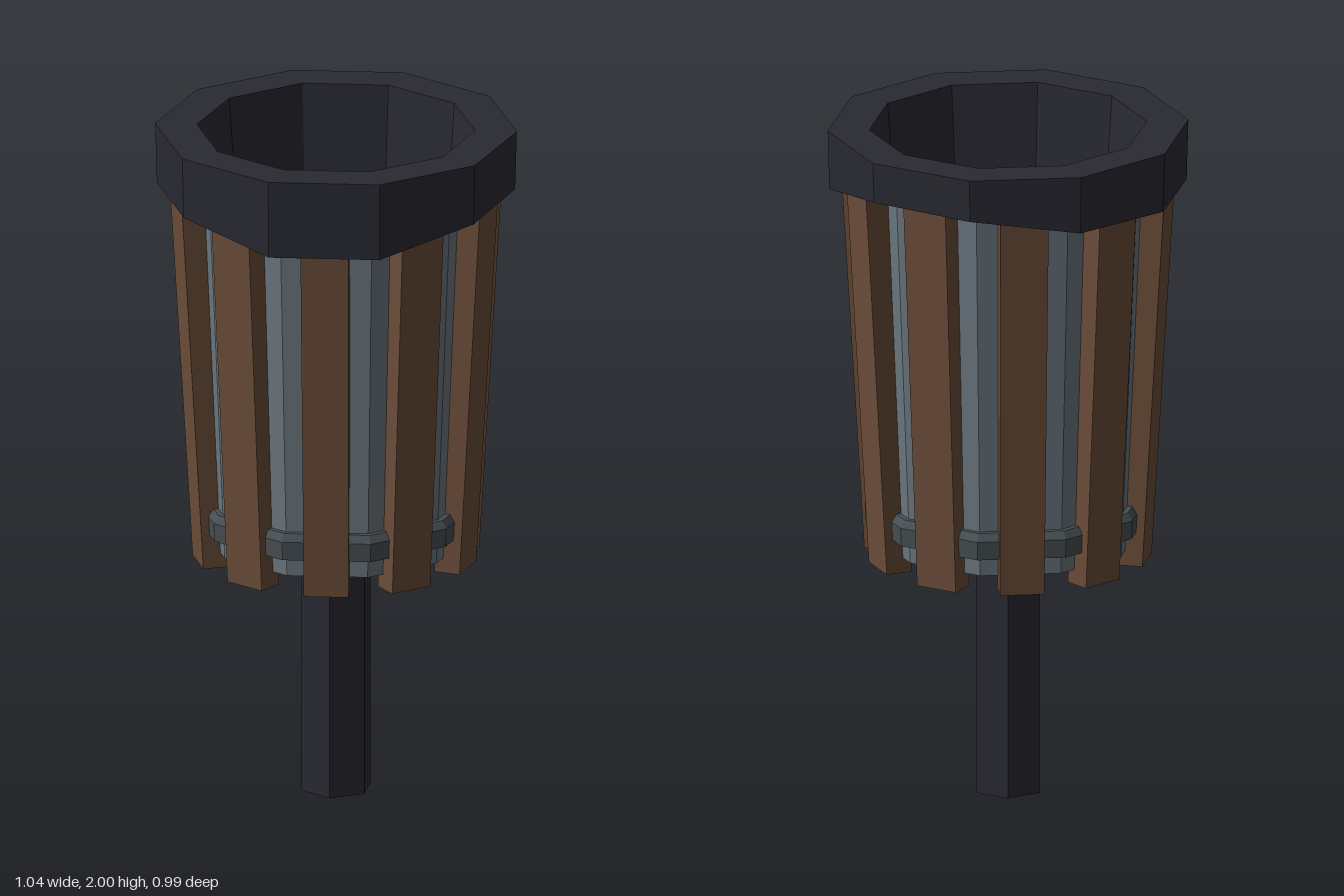
import * as THREE from 'three';

const SIDES = 10;
const STEP = (Math.PI * 2) / SIDES;

export function createModel() {
  const mat = (name, color) => {
    const m = new THREE.MeshStandardMaterial({ color, flatShading: true });
    m.name = name;
    return m;
  };
  const iron = mat('dark iron', 0x292933);
  const steel = mat('blue grey steel', 0x6b777f);
  const bandSteel = mat('dark steel', 0x474f54);
  const wood = mat('brown wood', 0x6b4d39);

  const group = new THREE.Group();
  const add = (name, geometry, material, parent = group) => {
    const mesh = new THREE.Mesh(geometry, material);
    mesh.name = name;
    parent.add(mesh);
    return mesh;
  };
  // Ten-sided turned part with a corner on the x axis
  const lathe = (points) =>
    new THREE.LatheGeometry(points.map(([r, y]) => new THREE.Vector2(r, y)), SIDES, Math.PI / 2);

  // Rim and hollow bowl in one profile; the lower edge is uneven, one height per corner
  const lowerEdge = [1.82, 1.77, 1.77, 1.82, 1.82, 1.825, 1.83, 1.875, 1.88, 1.825];
  const rimGeo = lathe([[0.37, 1.8], [0.515, 1.8], [0.52, 2], [0.4, 2], [0.305, 0.9], [0, 0.9]]);
  const p = rimGeo.attributes.position;
  for (let i = 0; i < p.count; i++) {
    const x = p.getX(i), y = p.getY(i), z = p.getZ(i);
    const corner = (Math.round(Math.atan2(z, x) / STEP) + SIDES) % SIDES;
    if (Math.abs(y - 1.8) < 0.01) p.setY(i, lowerEdge[corner]);
    // The bowl floor rises and widens at the back
    if (y < 1 && z < -0.25) p.setXYZ(i, x * 1.1, 1.1, z * 1.1);
  }
  add('rimAndBowl', rimGeo, iron);

  // Tapered ten-sided body, its corners in the gaps between the slats
  add('body', lathe([[0, 0.76], [0.376, 0.76], [0.431, 1.92]]), steel);

  // Band around the foot of the body
  add('lowerBand', lathe([[0.36, 0.81], [0.41, 0.818], [0.413, 0.873], [0.398, 0.895], [0.36, 0.895]]), bandSteel);

  // Leaning wooden slats, slightly wider at the top
  const y0 = 0.715, y1 = 1.94;
  const slatGeo = new THREE.BoxGeometry(1, 1, 1);
  const s = slatGeo.attributes.position;
  for (let i = 0; i < s.count; i++) {
    const top = s.getY(i) > 0;
    const outer = top ? 0.48 : 0.408;
    s.setXYZ(i, s.getX(i) * (top ? 0.14 : 0.128), top ? y1 : y0, s.getZ(i) > 0 ? outer : outer - 0.078);
  }
  slatGeo.computeVertexNormals();
  const slats = new THREE.Group();
  slats.name = 'slats';
  group.add(slats);
  for (let i = 0; i < SIDES; i++) add('slat', slatGeo, wood, slats).rotation.y = i * STEP;

  // Hexagonal stem
  const stem = new THREE.CylinderGeometry(0.106, 0.106, 0.78, 6);
  stem.rotateY(Math.PI / 2);
  add('stem', stem, iron).position.y = 0.39;

  return group;
}
